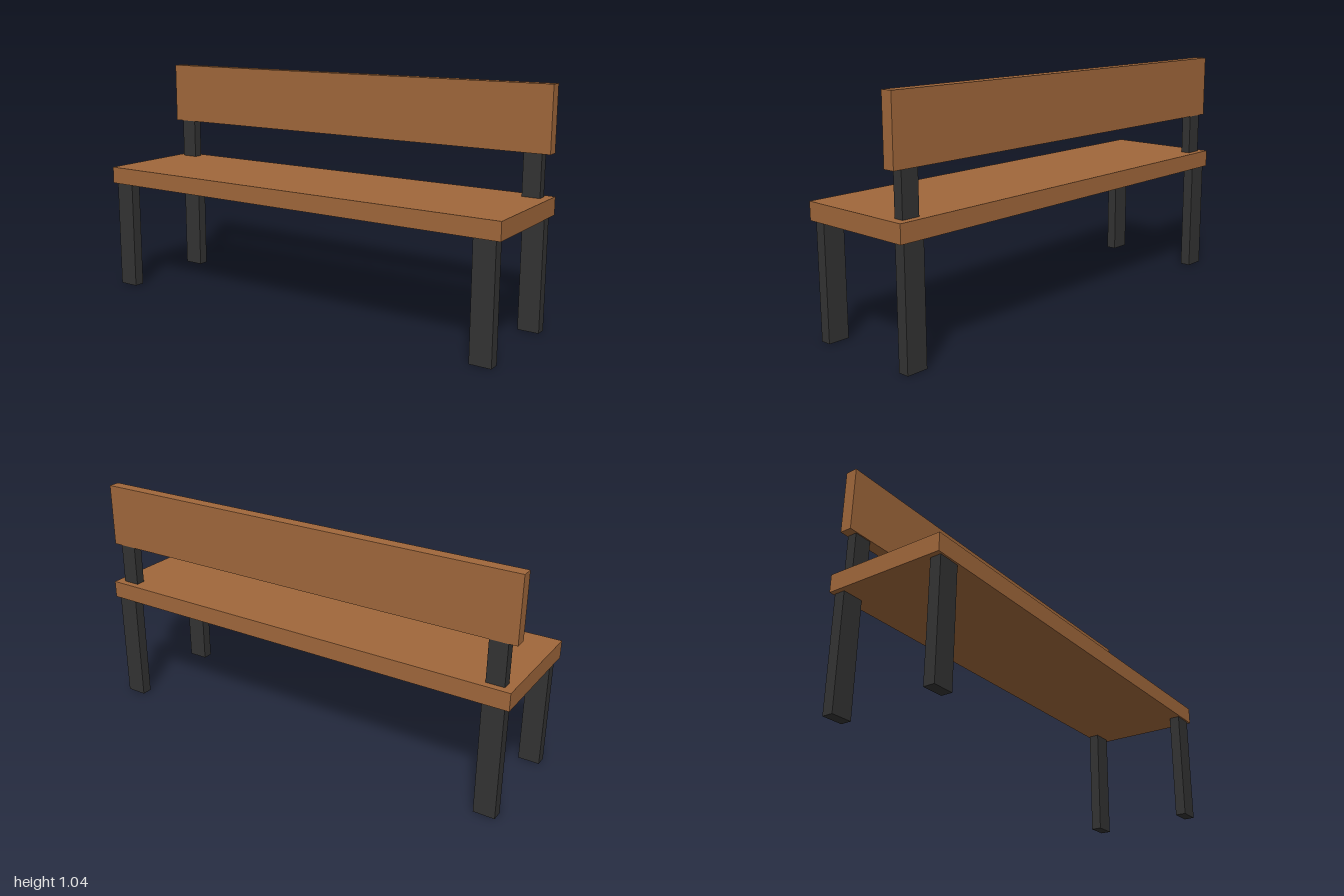
import * as THREE from 'three';

const wood = new THREE.MeshStandardMaterial({ name: 'wood', color: 0xa0673b });
const darkMetal = new THREE.MeshStandardMaterial({ name: 'darkMetal', color: 0x333333 });

// Box given by its size, bottom height and centre in plan
function addBox(group, name, material, [w, h, d], x, bottom, z) {
  const mesh = new THREE.Mesh(new THREE.BoxGeometry(w, h, d), material);
  mesh.name = name;
  mesh.position.set(x, bottom + h / 2, z);
  group.add(mesh);
}

export function createModel() {
  const bench = new THREE.Group();
  bench.name = 'bench';

  // Planks
  addBox(bench, 'seat', wood, [2, 0.077, 0.534], 0, 0.498, 0);
  addBox(bench, 'backrest', wood, [2, 0.28, 0.052], 0, 0.757, -0.214);

  for (const [side, s] of [['left', 1], ['right', -1]]) {
    // Legs under the seat
    addBox(bench, side + 'FrontLeg', darkMetal, [0.094, 0.498, 0.048], s * 0.932, 0, 0.235);
    addBox(bench, side + 'BackLeg', darkMetal, [0.094, 0.498, 0.048], s * 0.932, 0, -0.235);
    // Short post between seat and backrest
    addBox(bench, side + 'BackrestPost', darkMetal, [0.078, 0.182, 0.043], s * 0.924, 0.575, -0.215);
  }
  return bench;
}
